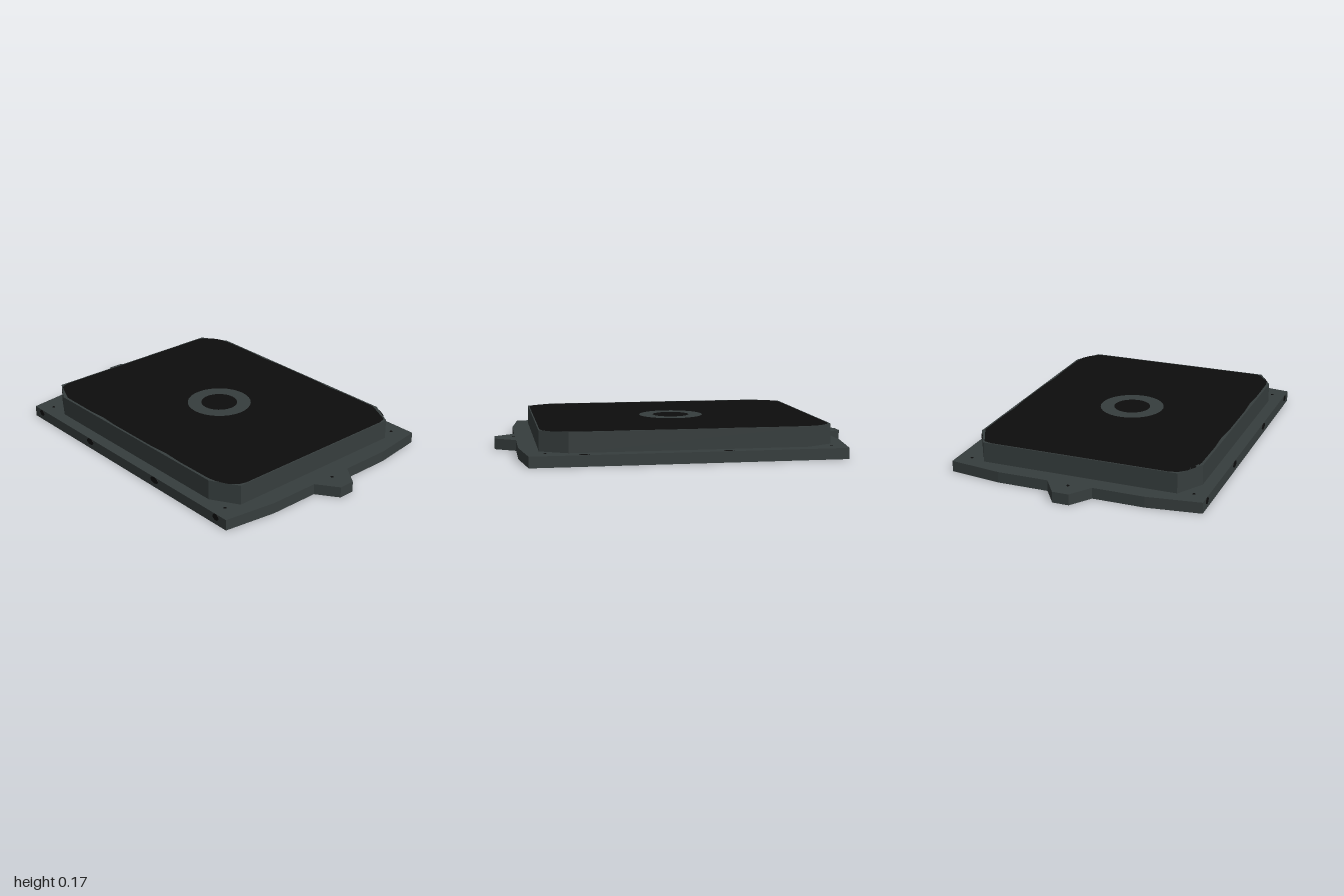
import * as THREE from 'three';

const FLANGE_Y = 0.06, TOP_Y = 0.17;

// Mirror one quadrant of [x, z] points into a full counter-clockwise outline
function mirrorOutline(q, cx = 0, cz = 0) {
  const r = [...q].reverse();
  return [
    ...q.map(([x, z]) => [x, z]),
    ...r.map(([x, z]) => [-x, z]),
    ...q.map(([x, z]) => [-x, -z]),
    ...r.map(([x, z]) => [x, -z]),
  ].map(([x, z]) => new THREE.Vector2(x + cx, z - cz));
}

// Flat plate lying at height y, with optional holes
function plate(outline, holes, y) {
  const shape = new THREE.Shape(outline);
  holes.forEach((h) => shape.holes.push(new THREE.Path(h)));
  return new THREE.ShapeGeometry(shape).rotateX(-Math.PI / 2).translate(0, y, 0);
}

// Upright thin wall following an outline
function wall(outline, y0, y1) {
  const pos = [];
  outline.forEach((a, i) => {
    const b = outline[(i + 1) % outline.length];
    const a0 = [a.x, y0, -a.y], b0 = [b.x, y0, -b.y];
    const a1 = [a.x, y1, -a.y], b1 = [b.x, y1, -b.y];
    pos.push(...a0, ...b0, ...b1, ...a0, ...b1, ...a1);
  });
  const g = new THREE.BufferGeometry();
  g.setAttribute('position', new THREE.Float32BufferAttribute(pos, 3));
  g.computeVertexNormals();
  return g;
}

function circle(r, cx, n = 32) {
  return Array.from({ length: n }, (_, i) => {
    const t = (i / n) * Math.PI * 2;
    return new THREE.Vector2(cx + r * Math.cos(t), r * Math.sin(t));
  });
}

export function createModel() {
  const group = new THREE.Group();
  const grey = new THREE.MeshStandardMaterial({ color: 0x363d3d, side: THREE.DoubleSide });
  grey.name = 'dark slate grey';
  const black = new THREE.MeshStandardMaterial({ color: 0x0d0d0d, side: THREE.DoubleSide });
  black.name = 'black';
  const add = (name, geometry, material) => {
    const m = new THREE.Mesh(geometry, material);
    m.name = name;
    group.add(m);
    return m;
  };

  // Outlines: flange with pointed side tabs, chamfered box, rounded panel
  const flange = mirrorOutline([[1, 0.045], [0.885, 0.125], [0.885, 0.41], [0.845, 0.703]]);
  const box = mirrorOutline([[0.787, 0.545], [0.64, 0.632]], -0.003, 0.004);
  const panel = mirrorOutline(
    [[0.78, 0.5], [0.768, 0.545], [0.735, 0.58], [0.685, 0.608], [0.62, 0.619], [0.4, 0.621], [0.28, 0.615], [0.16, 0.622]],
    -0.003, 0.002);
  const ringOuter = circle(0.181, -0.004), ringInner = circle(0.103, -0.004);

  // Hollow shell, open underneath
  add('flangeTop', plate(flange, [box], FLANGE_Y), grey);
  add('flangeSkirt', wall(flange, 0, FLANGE_Y), grey);
  add('raisedWall', wall(box, FLANGE_Y, TOP_Y), grey);
  add('topBorder', plate(box, [panel], TOP_Y), grey);
  add('topPanel', plate(panel, [ringOuter], TOP_Y), black);
  add('topRing', plate(ringOuter, [ringInner], TOP_Y), grey);
  add('topRingCentre', plate(ringInner, [], TOP_Y), black);

  // Dark holes along the front skirt
  for (const [x, r] of [[-0.777, 0.021], [-0.297, 0.029], [0.278, 0.032], [0.768, 0.022]]) {
    const spot = add('frontHole', new THREE.CylinderGeometry(1, 1, 0.004, 16), black);
    spot.rotation.x = Math.PI / 2;
    spot.scale.set(r, 1, 0.018);
    spot.position.set(x, 0.042, 0.703);
  }

  // Half-round notches on the rear edge of the flange
  for (const x of [-0.193, 0.563]) {
    const notch = add('rearNotch', new THREE.CylinderGeometry(0.028, 0.028, 0.004, 12, 1, false, -Math.PI / 2, Math.PI), black);
    notch.position.set(x, FLANGE_Y, -0.703);
  }

  // Pin holes in the corners and side tabs
  for (const [x, z] of [[-0.77, -0.625], [0.757, -0.625], [-0.765, 0.63], [0.755, 0.63], [-0.905, 0], [0.893, 0]]) {
    const pin = add('pinHole', new THREE.CylinderGeometry(0.008, 0.008, 0.004, 8), black);
    pin.position.set(x, FLANGE_Y, z);
  }
  return group;
}
